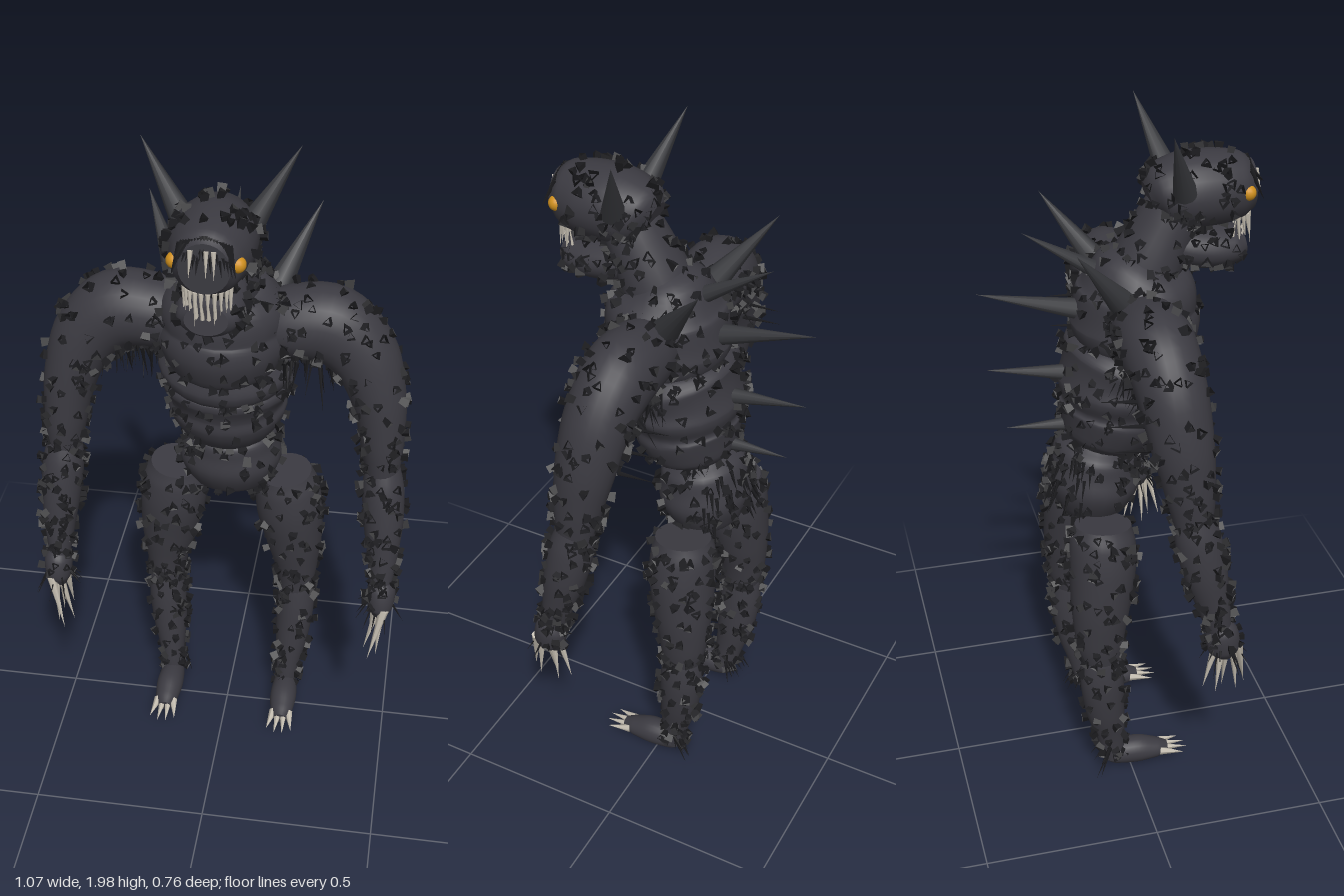
import * as THREE from 'three';
import { mergeGeometries } from 'three/addons/utils/BufferGeometryUtils.js';

const V3 = (x, y, z) => new THREE.Vector3(x, y, z);
const UP = V3(0, 1, 0);
const X = V3(1, 0, 0), Z = V3(0, 0, 1);

// Seeded random numbers
let seed = 7;
const rnd = () => {
  seed = (seed * 16807) % 2147483647;
  return seed / 2147483647;
};
const spread = (s) => (rnd() - 0.5) * 2 * s;

// Smooth elliptical body through rows of [x, y, z, radius along ref, other radius]
function makeLoft(rows, ref) {
  const path = new THREE.CatmullRomCurve3(rows.map((r) => V3(r[0], r[1], r[2])));
  const radii = new THREE.CatmullRomCurve3(rows.map((r) => V3(r[3], r[4], 0)), false, 'catmullrom', 0.4);
  const at = (t, a) => {
    const c = path.getPoint(t), r = radii.getPoint(t), T = path.getTangent(t);
    const U = ref.clone().addScaledVector(T, -ref.dot(T)).normalize();
    const V = T.clone().cross(U);
    const pos = c.clone().addScaledVector(U, Math.cos(a) * r.x).addScaledVector(V, Math.sin(a) * r.y);
    const normal = U.multiplyScalar(Math.cos(a) / r.x).addScaledVector(V, Math.sin(a) / r.y).normalize();
    return { pos, normal };
  };
  const rings = (rows.length - 1) * 5, sides = 24, pts = [], idx = [];
  for (let i = 0; i <= rings; i++)
    for (let j = 0; j < sides; j++) pts.push(at(i / rings, (j / sides) * Math.PI * 2).pos);
  for (let i = 0; i < rings; i++)
    for (let j = 0; j < sides; j++) {
      const a = i * sides + j, b = i * sides + ((j + 1) % sides);
      idx.push(a, b, a + sides, b, b + sides, a + sides);
    }
  // End caps have their own rims so the edge stays crisp
  for (const [i, t] of [[0, 0], [rings, 1]]) {
    const rim = pts.length;
    for (let j = 0; j < sides; j++) pts.push(pts[i * sides + j].clone());
    pts.push(path.getPoint(t));
    for (let j = 0; j < sides; j++) {
      const a = rim + j, b = rim + ((j + 1) % sides);
      if (t) idx.push(a, b, rim + sides);
      else idx.push(b, a, rim + sides);
    }
  }
  const geometry = new THREE.BufferGeometry().setFromPoints(pts);
  geometry.setIndex(idx);
  geometry.computeVertexNormals();
  return { geometry, at };
}

// Cone running from a base point to its tip
function spike(base, tip, r, sides = 10) {
  const d = tip.clone().sub(base), h = d.length();
  const g = new THREE.ConeGeometry(r, h, sides).translate(0, h / 2, 0);
  g.applyQuaternion(new THREE.Quaternion().setFromUnitVectors(UP, d.normalize()));
  return g.translate(base.x, base.y, base.z);
}

// Hollow three-sided tuft that flares outward
function tuft({ pos, normal }) {
  const h = 0.02 + rnd() * 0.012, r = 0.012 + rnd() * 0.005;
  const g = new THREE.CylinderGeometry(r, r * 0.7, h, 3, 1, true).toNonIndexed();
  g.computeVertexNormals();
  g.rotateY(rnd() * 6.28).translate(0, h / 2 - 0.011, 0);
  const dir = normal.clone().add(V3(spread(0.45), spread(0.45) - 0.2, spread(0.45))).normalize();
  g.applyQuaternion(new THREE.Quaternion().setFromUnitVectors(UP, dir));
  return g.translate(pos.x, pos.y, pos.z);
}

export function createModel() {
  const model = new THREE.Group();
  const mat = (name, color, side = THREE.FrontSide) => {
    const m = new THREE.MeshStandardMaterial({ color, side });
    m.name = name;
    return m;
  };
  const hide = mat('charcoal hide', 0x3b3a41);
  const fur = mat('black fur', 0x1d1d20, THREE.DoubleSide);
  const horn = mat('dark horn', 0x37383c);
  const bone = mat('pale bone', 0xc8c1b4);
  const amber = mat('amber eye', 0xd0901e);
  const add = (parent, name, geometry, material) => {
    const mesh = new THREE.Mesh(geometry, material);
    mesh.name = name;
    parent.add(mesh);
  };
  // A loft plus its scattered tufts, which stop at the fraction "end" of its length
  const furry = (parent, name, rows, ref, count, end = 0.97) => {
    const loft = makeLoft(rows, ref);
    add(parent, name, loft.geometry, hide);
    const tufts = [];
    for (let i = 0; i < count; i++) tufts.push(tuft(loft.at(0.03 + (end - 0.03) * (i + rnd()) / count, rnd() * Math.PI * 2)));
    if (count) add(parent, name + 'Tufts', mergeGeometries(tufts), fur);
    return loft;
  };

  // Trunk, from the bottom up
  const pelvis = furry(model, 'pelvis', [[0, 0.84, -0.07, 0.06, 0.05], [0, 0.875, -0.07, 0.115, 0.1],
    [0, 0.95, -0.065, 0.148, 0.13], [0, 1.01, -0.06, 0.138, 0.122], [0, 1.05, -0.055, 0.13, 0.115],
    [0, 1.08, -0.05, 0.095, 0.085]], X, 125);
  furry(model, 'abdomen', [[0, 1.06, -0.04, 0.09, 0.09], [0, 1.1, -0.03, 0.14, 0.125], [0, 1.17, -0.01, 0.168, 0.15],
    [0, 1.2, -0.005, 0.163, 0.145], [0, 1.25, 0, 0.185, 0.16], [0, 1.285, 0.005, 0.178, 0.154],
    [0, 1.33, 0.02, 0.188, 0.165], [0, 1.365, 0.03, 0.165, 0.145], [0, 1.39, 0.035, 0.13, 0.11]], X, 145);
  furry(model, 'chest', [[0, 1.345, 0.045, 0.12, 0.12], [0, 1.37, 0.05, 0.16, 0.16], [0, 1.43, 0.055, 0.18, 0.178],
    [0, 1.48, 0.055, 0.172, 0.168], [0, 1.53, 0.06, 0.17, 0.16], [0, 1.59, 0.06, 0.125, 0.12],
    [0, 1.63, 0.07, 0.07, 0.06]], X, 130);
  furry(model, 'neck', [[0, 1.5, 0.05, 0.11, 0.11], [0, 1.61, 0.095, 0.1, 0.095],
    [0, 1.7, 0.14, 0.09, 0.085], [0, 1.78, 0.18, 0.08, 0.07]], X, 80);

  // Head
  const head = new THREE.Group();
  head.name = 'head';
  model.add(head);
  furry(head, 'skull', [[0, 1.775, 0.09, 0.045, 0.045], [0, 1.785, 0.12, 0.088, 0.08], [0, 1.79, 0.19, 0.11, 0.1],
    [0, 1.79, 0.27, 0.108, 0.1], [0, 1.79, 0.335, 0.09, 0.09], [0, 1.79, 0.37, 0.064, 0.068]], X, 115, 0.72);
  furry(head, 'jaw', [[0, 1.66, 0.13, 0.06, 0.05], [0, 1.64, 0.19, 0.085, 0.06], [0, 1.63, 0.26, 0.09, 0.06],
    [0, 1.63, 0.32, 0.08, 0.052], [0, 1.635, 0.35, 0.055, 0.038]], X, 50, 0.85);
  // Shaggy dark hair over the face, with a few pale strands
  const teeth = [], brow = [];
  for (let i = 0; i < 19; i++) {
    const x = (i - 9) * 0.008;
    brow.push(spike(V3(x * 0.8, 1.868 - Math.abs(x) * 0.3, 0.35), V3(x * 1.1, 1.77 + rnd() * 0.05, 0.382), 0.011, 4));
  }
  for (const x of [-0.032, 0.006, 0.024]) teeth.push(spike(V3(x, 1.84, 0.373), V3(x * 1.1, 1.77, 0.388), 0.007, 6));
  // Upper and lower teeth around the mouth
  for (let i = 0; i < 10; i++) {
    const a = (i / 9 - 0.5) * 2.4, x = Math.sin(a) * 0.062, z = 0.295 + Math.cos(a) * 0.07;
    const long = i % 3 ? 0.05 : 0.08;
    teeth.push(spike(V3(x, 1.72, z), V3(x, 1.71 - long, z + 0.008), 0.007, 6));
    teeth.push(spike(V3(x * 0.95, 1.64, z - 0.015), V3(x, 1.645 + long, z - 0.005), 0.006, 6));
  }
  add(head, 'teeth', mergeGeometries(teeth), bone);
  add(head, 'browFur', mergeGeometries(brow), fur);

  // Spines along the middle of the back
  const spines = [[1.56, -0.01, 1.71, -0.25, 0.03], [1.47, -0.07, 1.55, -0.375, 0.033],
    [1.29, -0.12, 1.325, -0.36, 0.025], [1.13, -0.11, 1.14, -0.31, 0.022]];
  add(model, 'backSpines', mergeGeometries(spines.map(([y, z, ty, tz, r]) => spike(V3(0, y, z), V3(0, ty, tz), r))), horn);

  // Long hair hanging over the rump
  const rump = [];
  for (let i = 0; i < 36; i++) {
    const { pos, normal } = pelvis.at(0.25 + rnd() * 0.6, Math.PI / 2 + spread(1.2));
    rump.push(spike(pos, pos.clone().addScaledVector(normal, 0.025).add(V3(0, -0.06, 0)), 0.007, 4));
  }
  add(model, 'rumpHair', mergeGeometries(rump), fur);

  // Everything that comes in pairs
  for (const s of [1, -1]) {
    const side = s > 0 ? 'left' : 'right';
    const P = (x, y, z) => V3(s * x, y, z);
    const flip = (rows) => rows.map(([x, ...rest]) => [s * x, ...rest]);

    add(head, side + 'Horn', spike(P(0.085, 1.81, 0.165), P(0.2, 2, 0.1), 0.034), horn);
    add(head, side + 'Eye', new THREE.SphereGeometry(0.021, 16, 12).translate(s * 0.077, 1.793, 0.339), amber);
    add(model, side + 'ShoulderSpine', spike(P(0.135, 1.54, -0.01), P(0.235, 1.73, -0.155), 0.038), horn);

    // Arm
    const arm = new THREE.Group();
    arm.name = side + 'Arm';
    model.add(arm);
    furry(arm, 'upperArm', flip([[0.12, 1.46, 0.045, 0.09, 0.09], [0.2, 1.475, 0.045, 0.1, 0.1],
      [0.29, 1.47, 0.045, 0.1, 0.108], [0.37, 1.4, 0.055, 0.092, 0.095], [0.42, 1.28, 0.07, 0.084, 0.076],
      [0.44, 1.14, 0.09, 0.068, 0.06], [0.447, 1.04, 0.1, 0.052, 0.046]]), Z, 175);
    furry(arm, 'forearm', flip([[0.445, 1.08, 0.095, 0.045, 0.045], [0.452, 1, 0.11, 0.062, 0.058],
      [0.46, 0.9, 0.13, 0.06, 0.056], [0.465, 0.79, 0.155, 0.046, 0.043], [0.467, 0.7, 0.175, 0.034, 0.03]]), Z, 105);
    furry(arm, 'hand', flip([[0.467, 0.72, 0.17, 0.028, 0.026], [0.47, 0.69, 0.18, 0.046, 0.04],
      [0.47, 0.64, 0.19, 0.045, 0.036], [0.468, 0.61, 0.195, 0.022, 0.02]]), Z, 20, 0.6);
    const claws = [], fringe = [];
    for (let i = 0; i < 5; i++) {
      const k = i / 4 - 0.5;
      claws.push(spike(P(0.468 + k * 0.03, 0.65, 0.2 + k * 0.05),
        P(0.43 + i % 2 * 0.03 + Math.abs(k) * 0.03, 0.475 + Math.abs(k) * 0.03, 0.2 + k * 0.12), 0.014, 6));
    }
    add(arm, 'handClaws', mergeGeometries(claws), bone);
    // Hair under the arm, around the wrist and behind the elbow
    for (let i = 0; i < 40; i++) {
      const x = 0.16 + rnd() * 0.17, z = 0.05 + spread(0.08);
      fringe.push(spike(P(x, 1.39, z), P(x + spread(0.02), 1.26 + rnd() * 0.07, z + spread(0.06)), 0.006, 4));
    }
    for (let i = 0; i < 14; i++) {
      const a = rnd() * 6.28, c = Math.cos(a), d = Math.sin(a);
      fringe.push(spike(P(0.47 + c * 0.03, 0.66, 0.185 + d * 0.03), P(0.47 + c * 0.07, 0.61 + spread(0.04), 0.19 + d * 0.07), 0.005, 4));
    }
    for (let i = 0; i < 3; i++)
      fringe.push(spike(P(0.34 + i * 0.02, 1.36 - i * 0.06, 0), P(0.33 + i * 0.027, 1.37 - i * 0.06, -0.13 + i * 0.01), 0.008, 4));
    add(arm, 'armHair', mergeGeometries(fringe), fur);

    // Leg
    const leg = new THREE.Group();
    leg.name = side + 'Leg';
    model.add(leg);
    furry(leg, 'thigh', flip([[0.2, 0.44, -0.09, 0.05, 0.055], [0.2, 0.52, -0.095, 0.063, 0.07],
      [0.19, 0.64, -0.09, 0.085, 0.085], [0.175, 0.76, -0.08, 0.098, 0.095], [0.167, 0.84, -0.078, 0.093, 0.093],
      [0.162, 0.89, -0.075, 0.075, 0.08]]), X, 125);
    furry(leg, 'shin', flip([[0.182, 0.06, -0.05, 0.03, 0.032], [0.186, 0.14, -0.06, 0.036, 0.042],
      [0.195, 0.26, -0.08, 0.052, 0.058], [0.202, 0.37, -0.09, 0.057, 0.064], [0.202, 0.45, -0.092, 0.052, 0.058],
      [0.2, 0.5, -0.092, 0.04, 0.045]]), X, 105);
    furry(leg, 'foot', flip([[0.182, 0.075, -0.08, 0.018, 0.018], [0.182, 0.07, -0.05, 0.034, 0.036],
      [0.183, 0.07, 0.02, 0.041, 0.042], [0.184, 0.063, 0.08, 0.034, 0.03], [0.184, 0.06, 0.115, 0.02, 0.018]]), X, 0);
    const toes = [], heel = [];
    for (let i = 0; i < 4; i++) {
      const k = (i - 1.5) * 0.016;
      toes.push(spike(P(0.184 + k, 0.065, 0.09), P(0.184 + k * 1.6, 0.057, 0.185 - Math.abs(k)), 0.013, 6));
    }
    for (let i = 0; i < 14; i++) {
      const x = spread(0.04);
      heel.push(spike(P(0.184 + x, 0.12, -0.07), P(0.184 + x * 1.4, 0.02 + rnd() * 0.06, -0.1 + spread(0.02)), 0.006, 4));
    }
    add(leg, 'toeClaws', mergeGeometries(toes), bone);
    add(leg, 'heelHair', mergeGeometries(heel), fur);
  }
  return model;
}
